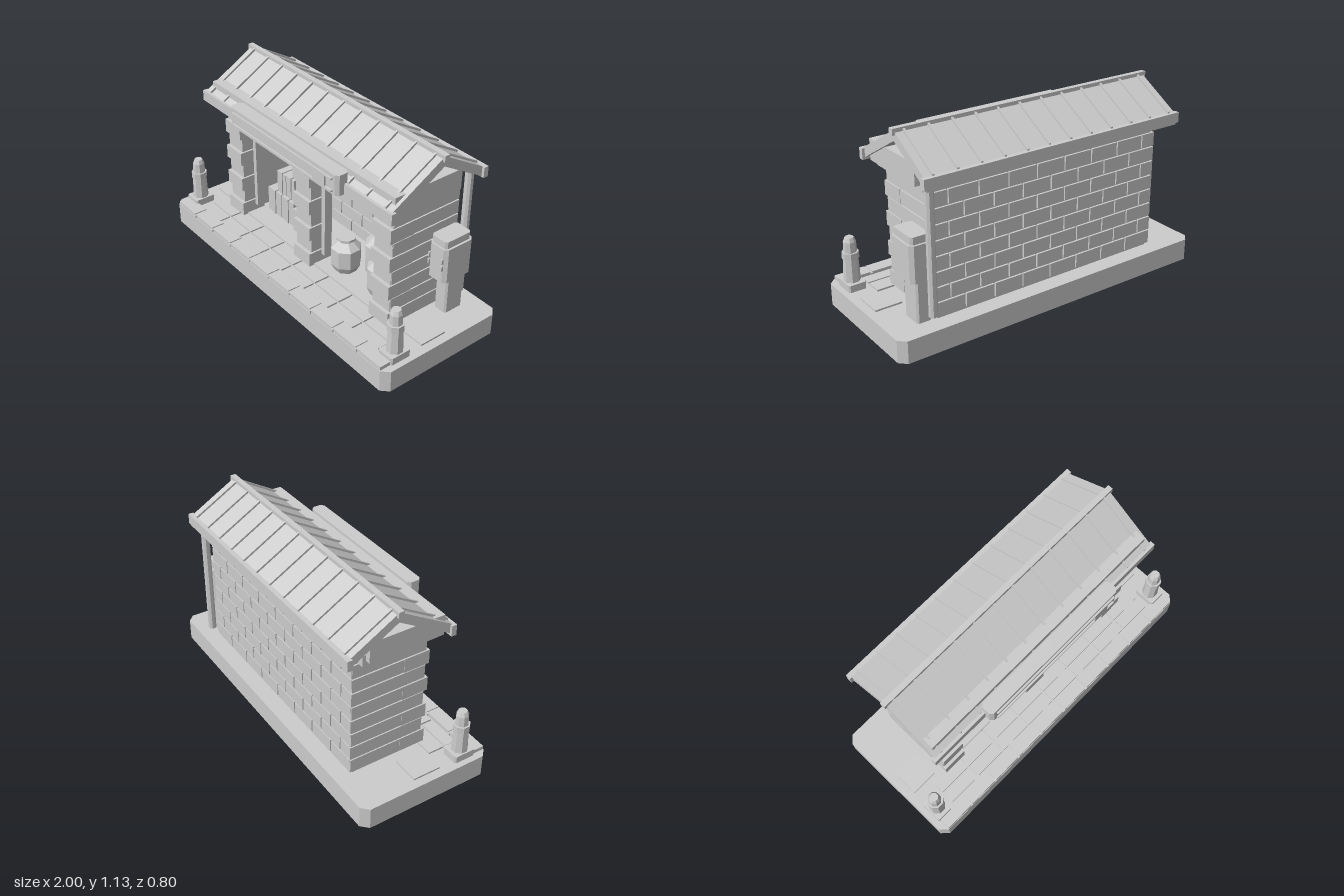
import * as THREE from 'three';

export function createModel() {
  const model = new THREE.Group();
  const stone = new THREE.MeshStandardMaterial({ color: 0xcccccc, flatShading: true });
  stone.name = 'plain grey';

  const add = (name, geometry, parent = model) => {
    const mesh = new THREE.Mesh(geometry, stone);
    mesh.name = name;
    parent.add(mesh);
    return mesh;
  };
  const group = (name) => {
    const g = new THREE.Group();
    g.name = name;
    model.add(g);
    return g;
  };
  // Box given by its limits on each axis
  const box = (name, x0, x1, y0, y1, z0, z1, parent) => {
    const m = add(name, new THREE.BoxGeometry(x1 - x0, y1 - y0, z1 - z0), parent);
    m.position.set((x0 + x1) / 2, (y0 + y1) / 2, (z0 + z1) / 2);
    return m;
  };
  // Upright block with its four vertical corners cut off
  const cutBlock = (name, x0, x1, y0, y1, z0, z1, c, parent) => {
    const s = new THREE.Shape([
      [x0 + c, -z0], [x1 - c, -z0], [x1, -z0 - c], [x1, -z1 + c],
      [x1 - c, -z1], [x0 + c, -z1], [x0, -z1 + c], [x0, -z0 - c],
    ].map(([x, y]) => new THREE.Vector2(x, y)));
    const g = new THREE.ExtrudeGeometry(s, { depth: y1 - y0, bevelEnabled: false });
    g.rotateX(-Math.PI / 2).translate(0, y0, 0);
    return add(name, g, parent);
  };
  // Eight-sided turned shape from [radius, height] pairs
  const turned = (name, profile, x, y, z, parent) => {
    const g = new THREE.LatheGeometry(profile.map(([r, h]) => new THREE.Vector2(r, h)), 8, Math.PI / 8);
    const m = add(name, g, parent);
    m.position.set(x, y, z);
  };

  // Base and paving
  cutBlock('base', -1, 1, 0, 0.13, -0.4, 0.4, 0.04);
  const paving = group('paving');
  for (let i = 0; i < 10; i++) {
    const x = -0.963 + i * 0.1926;
    box('kerbStone', x + 0.006, x + 0.187, 0.125, 0.152, 0.315, 0.397, paving);
    if (i) box('kerbJoint', x - 0.008, x + 0.008, 0.128, 0.146, 0.31, 0.402, paving);
  }
  for (let i = 0; i < 8; i++) {
    const x = -0.84 + i * 0.21;
    box('paver', x + 0.005, x + 0.205, 0.125, 0.14, 0.235, 0.305, paving);
    box('paver', x + 0.005, x + 0.205, 0.125, 0.14, 0.13, 0.225, paving);
  }
  for (const s of [-1, 1]) {
    const slab = box('sideSlab', -0.08, 0.08, 0.125, 0.14, -0.055, 0.11, paving);
    slab.position.x = s * 0.87;
  }
  box('floor', -0.71, 0.71, 0.125, 0.15, -0.29, 0.13);

  // Walls: a plain core covered in courses of blocks
  const rows = 8, y0 = 0.14, h = 0.0875;
  const walls = group('walls');
  box('backCore', -0.72, 0.72, 0.13, 0.85, -0.298, -0.25, walls);
  for (const s of [-1, 1]) {
    const a = s < 0 ? -0.728 : 0.61, b = s < 0 ? -0.61 : 0.728;
    box('sideCore', a, b, 0.13, 0.85, -0.29, 0.13, walls);
  }
  // Running bond across a wall, clipped at its ends
  const bond = (name, left, right, z, depth, width) => {
    for (let r = 0; r < rows; r++) {
      const start = left - (r % 2 ? width / 2 : 0);
      for (let x = start; x < right - 0.01; x += width) {
        const a = Math.max(left, x + 0.004), b = Math.min(right, x + width - 0.004);
        if (b - a > 0.01) box(name, a, b, y0 + r * h + 0.004, y0 + (r + 1) * h - 0.004, z, z + depth, walls);
      }
    }
  };
  bond('backBrick', -0.735, 0.735, -0.31, 0.02, 0.184);
  bond('innerBrick', -0.61, 0.61, -0.255, 0.015, 0.19);
  for (const s of [-1, 1]) {
    for (let r = 0; r < rows; r++) {
      const m = box('sideCourse', -0.01, 0.01, y0 + r * h + 0.004, y0 + (r + 1) * h - 0.004, -0.308, 0.14, walls);
      m.position.x = s * 0.727;
    }
  }

  // Front pillars with alternating deep and shallow blocks
  const pillars = group('pillars');
  for (const x of [-0.665, 0, 0.665]) {
    box('pillarCore', x - 0.062, x + 0.062, 0.13, 0.85, 0.01, 0.14, pillars);
    for (let r = 0; r < rows; r++) {
      const out = r % 2 ? 0 : 0.006;
      box('pillarBlock', x - 0.068 - out, x + 0.068 + out, y0 + r * h + 0.002, y0 + (r + 1) * h - 0.002,
        0.005, r % 2 ? 0.143 : 0.161, pillars);
    }
  }

  // Sliding door posts and head rails
  const frames = group('doorFrames');
  for (const s of [-1, 1]) {
    for (const x of [0.095, 0.565]) {
      const post = box('doorPost', -0.014, 0.014, 0.2, 0.855, 0.03, 0.08, frames);
      post.position.x = s * x;
    }
    const rail = box('headRail', -0.25, 0.25, 0.79, 0.825, -0.24, -0.2, frames);
    rail.position.x = s * 0.33;
  }

  // Wall plate and the deep beam that shows in front of the roof
  box('wallPlate', -0.765, 0.765, 0.835, 0.867, -0.27, 0.18);
  box('rearPlate', -0.765, 0.765, 0.865, 0.9, -0.27, -0.24);
  box('headBeam', -0.795, 0.795, 0.865, 0.985, -0.25, 0.195);

  // Pitched roof as a chevron, with standing seams
  const roof = group('roof');
  const ridgeZ = -0.1, ridgeY = 1.118, pitch = 0.58;
  const top = (z) => ridgeY - Math.abs(z - ridgeZ) * pitch;
  const chevron = (name, x0, x1, zf, zb, lift, thick) => {
    const pts = [[zf, top(zf) + lift], [ridgeZ, ridgeY + lift], [zb, top(zb) + lift],
      [zb, top(zb) + lift - thick], [ridgeZ, ridgeY + lift - thick], [zf, top(zf) + lift - thick]];
    const s = new THREE.Shape(pts.map(([z, y]) => new THREE.Vector2(-z, y)));
    const g = new THREE.ExtrudeGeometry(s, { depth: x1 - x0, bevelEnabled: false });
    g.rotateY(Math.PI / 2).translate(x0, 0, 0);
    add(name, g, roof);
  };
  chevron('roofPanels', -0.815, 0.815, 0.24, -0.395, 0, 0.057);
  for (let i = 0; i < 12; i++) {
    const x = -0.77 + i * 0.1395;
    chevron('seam', x - 0.006, x + 0.006, 0.23, -0.38, 0.013, 0.03);
  }
  box('ridgeCap', -0.83, 0.83, 1.095, 1.13, -0.116, -0.084, roof);
  box('frontEave', -0.83, 0.83, 0.865, 0.928, 0.215, 0.245, roof);
  box('rearEave', -0.83, 0.83, 0.9, 0.96, -0.4, -0.37, roof);

  // Blank fascia board over the entrance
  const board = group('fasciaBoard');
  cutBlock('boardBody', -0.475, 0.475, 0.867, 0.985, 0.21, 0.292, 0.018, board);
  box('boardRailTop', -0.44, 0.44, 0.953, 0.963, 0.285, 0.303, board);
  box('boardRailBottom', -0.44, 0.44, 0.883, 0.893, 0.285, 0.303, board);
  box('boardEndPanel', 0.29, 0.385, 0.893, 0.953, 0.285, 0.303, board);

  // Rain pipe at the back corner
  cutBlock('rainPipe', 0.745, 0.79, 0.175, 0.94, -0.355, -0.312, 0.012);

  // Utility cabinet on a post
  const cabinet = group('cabinet');
  cutBlock('cabinetPost', 0.75, 0.835, 0.13, 0.37, -0.29, -0.165, 0.01, cabinet);
  cutBlock('cabinetBody', 0.738, 0.867, 0.37, 0.58, -0.305, -0.105, 0.02, cabinet);
  cutBlock('cabinetCap', 0.745, 0.855, 0.58, 0.622, -0.292, -0.115, 0.012, cabinet);
  for (const y of [0.462, 0.505]) {
    box('hinge', 0.747, 0.757, y - 0.014, y + 0.014, -0.11, -0.096, cabinet);
    box('latch', 0.838, 0.85, y - 0.014, y + 0.014, -0.11, -0.096, cabinet);
  }

  // Bollards at both front corners
  for (const s of [-1, 1]) {
    const b = group('bollard');
    cutBlock('bollardFoot', -0.052, 0.052, 0.13, 0.172, -0.065, 0.065, 0.008, b);
    turned('bollardShaft', [[0, 0.17], [0.047, 0.17], [0.042, 0.305], [0.047, 0.305], [0.047, 0.345],
      [0.037, 0.345], [0.035, 0.405], [0.025, 0.43], [0, 0.43]], 0, 0, 0, b);
    b.position.set(s * 0.915, 0, 0.265);
  }

  // Stored crates with straps
  const crates = group('crates');
  const crate = (x0, x1, b, t, z0, z1) => {
    box('crate', x0, x1, b, t, z0, z1, crates);
    const m = (x0 + x1) / 2;
    box('crateStrap', m - 0.012, m + 0.012, b, t + 0.006, z0 - 0.006, z1 + 0.006, crates);
  };
  crate(-0.55, -0.42, 0.15, 0.31, -0.19, 0);
  crate(-0.415, -0.295, 0.15, 0.31, -0.19, 0);
  crate(-0.48, -0.395, 0.31, 0.45, -0.16, -0.02);
  crate(-0.39, -0.31, 0.31, 0.455, -0.16, -0.02);
  crate(-0.285, -0.15, 0.15, 0.29, -0.13, 0.01);

  // Storage jars
  const jars = group('jars');
  for (const [x, z, r, tall] of [[0.213, 0.01, 0.088, 0.218], [0.385, -0.11, 0.1, 0.305], [0.505, 0.0, 0.083, 0.25]]) {
    turned('jar', [[0, 0], [r * 0.75, 0], [r, tall * 0.2], [r, tall * 0.7], [r * 0.5, tall * 0.88],
      [r * 0.5, tall * 0.93], [r * 0.66, tall * 0.94], [r * 0.66, tall], [0, tall]], x, 0.15, z, jars);
  }
  return model;
}
